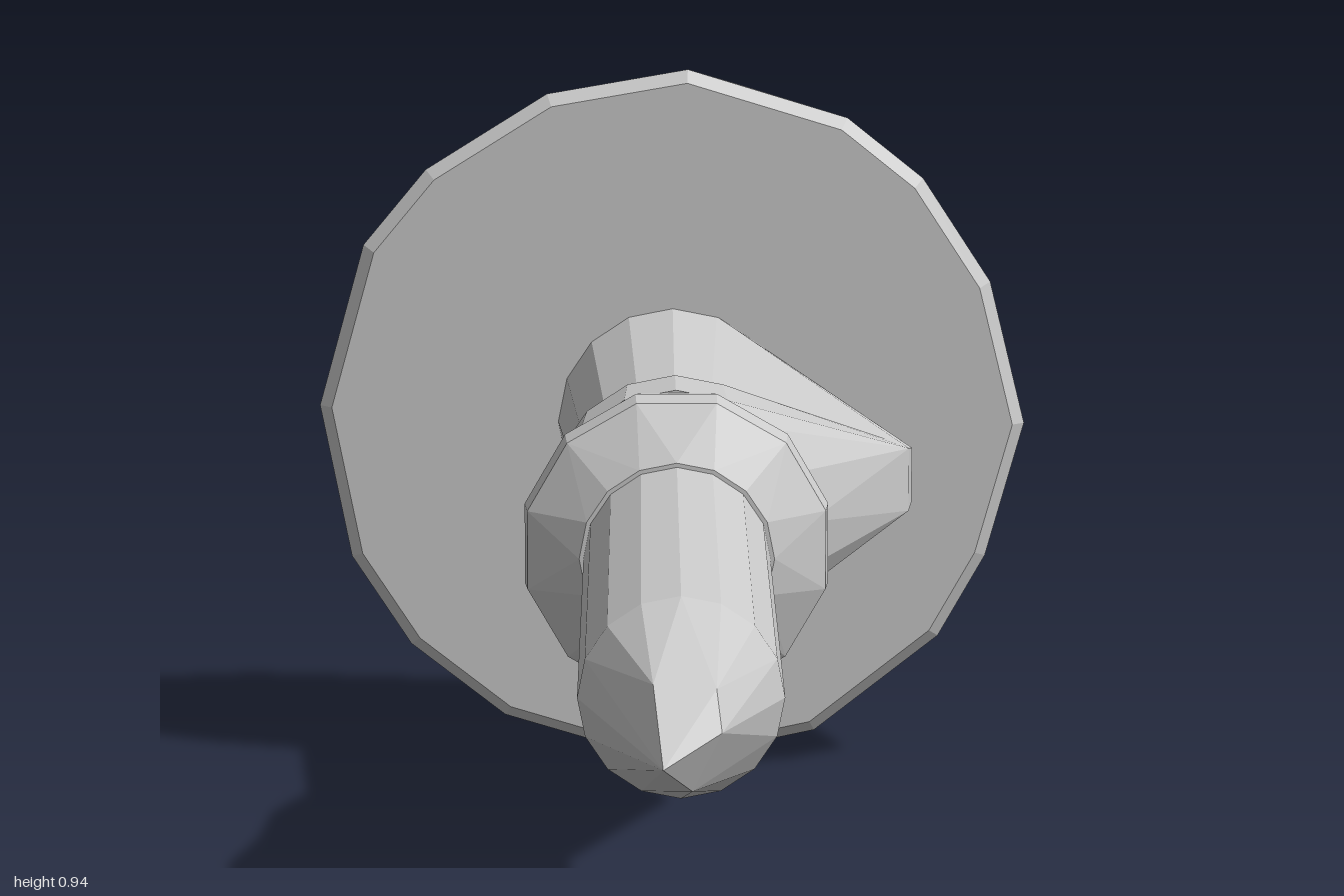
import * as THREE from 'three';
import { ConvexGeometry } from 'three/addons/geometries/ConvexGeometry.js';

const AXIS_Y = 0.47;

// Points of a circle around the z axis of the pin
function ring(z, r, n = 16, turn = 0) {
  return Array.from({ length: n }, (_, i) => {
    const a = ((i + turn) / n) * Math.PI * 2;
    return new THREE.Vector3(r * Math.cos(a), AXIS_Y + r * Math.sin(a), z);
  });
}

const points = (list) => list.map((p) => new THREE.Vector3(...p));

export function createModel() {
  const group = new THREE.Group();
  const material = new THREE.MeshStandardMaterial({ color: 0xcccccc, flatShading: true });
  const addHull = (name, ...sets) => {
    const mesh = new THREE.Mesh(new ConvexGeometry(sets.flat()), material);
    mesh.name = name;
    group.add(mesh);
  };

  // Round head with an uneven hand-cut rim, tapering to the back
  const rim = [
    [0.02, 0.937], [0.23, 0.873], [0.33, 0.793], [0.42, 0.655], [0.467, 0.465],
    [0.417, 0.285], [0.355, 0.175], [0.19, 0.045], [-0.01, 0.002], [-0.225, 0.067],
    [-0.35, 0.165], [-0.428, 0.285], [-0.468, 0.49], [-0.408, 0.705],
    [-0.325, 0.805], [-0.165, 0.905],
  ];
  const rimAt = (z, s, keep = () => true) => rim.filter((_, i) => keep(i))
    .map(([x, y]) => new THREE.Vector3(x * s, AXIS_Y + (y - AXIS_Y) * s, z));
  addHull('head',
    rimAt(-0.84, 0.965),
    rimAt(-0.855, 1),
    ring(-0.915, 0.448, 11, 0.4),
    rimAt(-0.985, 0.87, (i) => i % 2 === 0),
    ring(-0.997, 0.39, 9, 0.2));

  // Neck behind and in front of the side lug, sharing the lug edge
  const lug = points([
    [0.3, 0.435, -0.48], [0.3, 0.505, -0.48],
    [0.295, 0.43, -0.45], [0.295, 0.51, -0.45],
  ]);
  addHull('rearNeck', ring(-0.845, 0.152), ring(-0.45, 0.122), lug);
  addHull('frontNeck', ring(-0.44, 0.122), ring(-0.34, 0.154), ring(-0.19, 0.163), lug);

  // Collar
  addHull('collar',
    ring(-0.2, 0.163, 12, 0.5), ring(-0.07, 0.187, 12, 0.5),
    ring(-0.03, 0.183, 12, 0.5), ring(0.02, 0.115, 16));

  // Shaft with a roughly sharpened point
  addHull('shaft', ring(0, 0.11), ring(0.71, 0.11));
  addHull('tip', ring(0.71, 0.11), points([
    [-0.03, 0.53, 0.9], [0.035, 0.525, 0.9], [0.04, 0.49, 0.945],
    [0.01, 0.425, 0.93], [-0.02, 0.465, 1],
  ]));

  return group;
}
